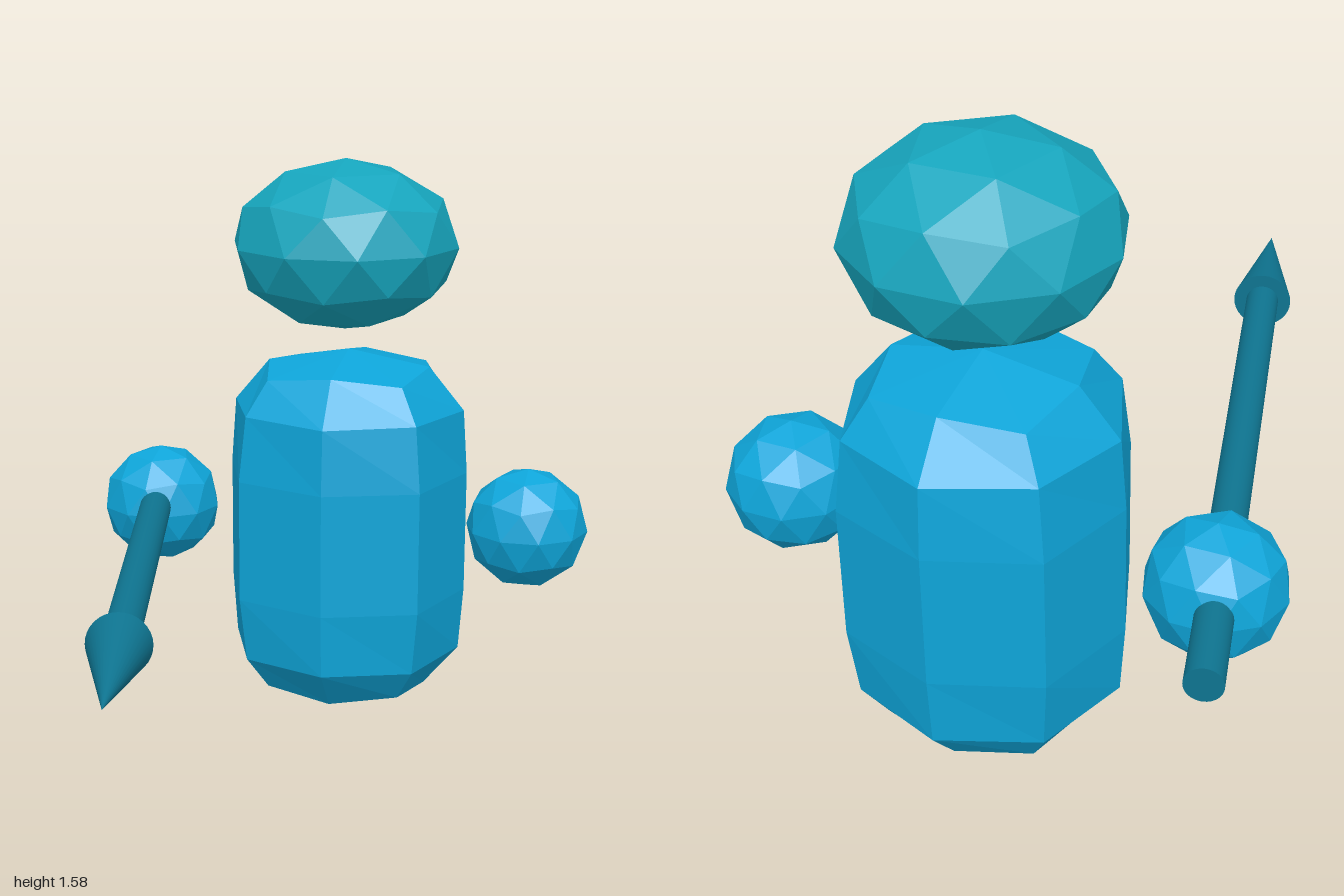
import * as THREE from 'three';

const blue = new THREE.MeshStandardMaterial({ color: 0x0ea5d9, flatShading: true });
const teal = new THREE.MeshStandardMaterial({ color: 0x16a5bd, flatShading: true });
const dark = new THREE.MeshStandardMaterial({ color: 0x0e7490 });

const Z = -0.63; // depth at which the figure stands

function part(name, geometry, material, x, y, z) {
  const mesh = new THREE.Mesh(geometry, material);
  mesh.name = name;
  mesh.position.set(x, y, z);
  return mesh;
}

// Faceted ball with one vertex pointing straight up
function ball(radius) {
  return new THREE.IcosahedronGeometry(radius, 1).rotateX(-Math.atan((1 + Math.sqrt(5)) / 2));
}

// Eight-sided rounded block: even columns follow the sides, odd ones the corners
function bodyGeometry() {
  const mirrored = (half) => [...half.map(([r, y]) => [r, -y]).reverse(), ...half];
  const sides = mirrored([[0.348, 0.175], [0.335, 0.357], [0.234, 0.478], [0, 0.52]]);
  const corners = mirrored([[0.364, 0.175], [0.341, 0.36], [0.27, 0.456], [0, 0.52]]);
  const geometry = new THREE.LatheGeometry(sides.map(([r, y]) => new THREE.Vector2(r, y)), 8);
  const position = geometry.attributes.position;
  for (let column = 1; column < 8; column += 2) {
    const angle = column * Math.PI / 4;
    corners.forEach(([r, y], row) => {
      position.setXYZ(column * corners.length + row, r * Math.sin(angle), y, r * Math.cos(angle));
    });
  }
  geometry.computeVertexNormals();
  return geometry;
}

// Spear lying along +z before it is turned
function createSpear() {
  const spear = new THREE.Group();
  spear.name = 'spear';
  const total = 2.04, headLength = 0.39, shaftLength = total - headLength;
  const shaft = new THREE.CylinderGeometry(0.045, 0.045, shaftLength, 32).rotateX(Math.PI / 2);
  const tip = new THREE.ConeGeometry(0.08, headLength, 32).rotateX(Math.PI / 2);
  spear.add(
    part('spearShaft', shaft, dark, 0, 0, shaftLength / 2),
    part('spearTip', tip, dark, 0, 0, shaftLength + headLength / 2)
  );
  spear.position.set(-0.646, 0.575, -0.988);
  spear.rotation.y = Math.atan2(0.483, 1.982);
  return spear;
}

export function createModel() {
  const model = new THREE.Group();
  model.name = 'spearFigure';
  model.add(part('body', bodyGeometry(), blue, 0.018, 0.523, Z));
  model.add(part('head', ball(0.323).scale(1, 0.24 / 0.323, 1), teal, 0.005, 1.34, Z));
  for (const [name, x] of [['leftHand', 0.542], ['rightHand', -0.55]]) {
    model.add(part(name, ball(0.173), blue, x, 0.548, Z));
  }
  model.add(createSpear());
  return model;
}
